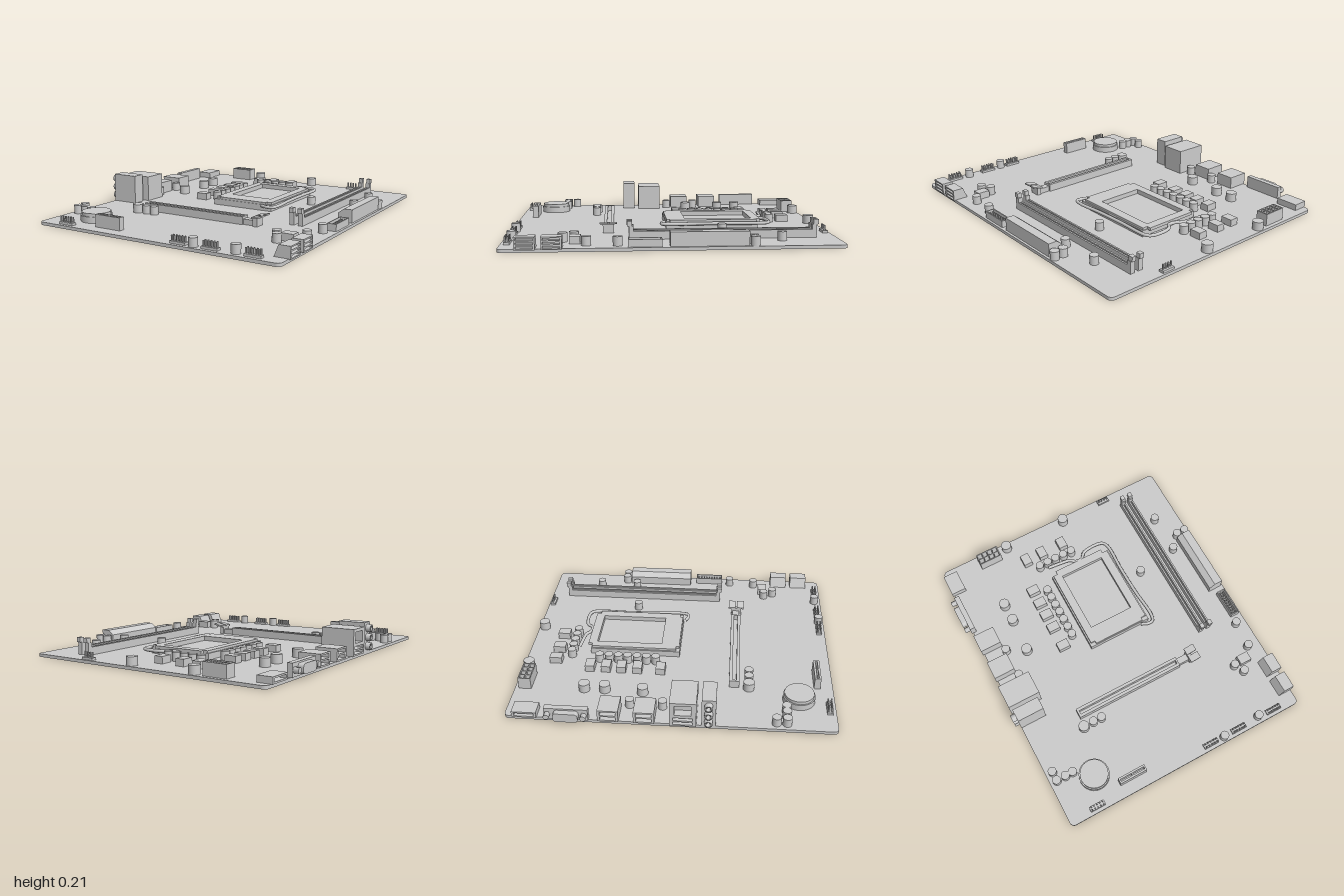
import * as THREE from 'three';

const mat = new THREE.MeshStandardMaterial({ color: 0xcccccc });
const T = 0.02; // top of the circuit board

// rectangle outline, corner-rounded if r > 0
function rect(P, x0, y0, x1, y1, r = 0) {
  const p = new P();
  if (!r) {
    p.moveTo(x0, y0); p.lineTo(x1, y0); p.lineTo(x1, y1); p.lineTo(x0, y1); p.closePath();
    return p;
  }
  p.moveTo(x0 + r, y0);
  p.absarc(x1 - r, y0 + r, r, -Math.PI / 2, 0);
  p.absarc(x1 - r, y1 - r, r, 0, Math.PI / 2);
  p.absarc(x0 + r, y1 - r, r, Math.PI / 2, Math.PI);
  p.absarc(x0 + r, y0 + r, r, Math.PI, Math.PI * 1.5);
  return p;
}

export function createModel() {
  const model = new THREE.Group();
  const add = (name, geo, parent = model) => {
    const m = new THREE.Mesh(geo, mat);
    m.name = name;
    parent.add(m);
    return m;
  };
  const group = (name) => {
    const g = new THREE.Group();
    g.name = name;
    model.add(g);
    return g;
  };
  // box from its limits
  const box = (name, x0, x1, y0, y1, z0, z1, parent) =>
    add(name, new THREE.BoxGeometry(x1 - x0, y1 - y0, z1 - z0)
      .translate((x0 + x1) / 2, (y0 + y1) / 2, (z0 + z1) / 2), parent);
  // outline in (x, -z) raised from y0 to y1
  const raise = (name, shape, y0, y1, parent) =>
    add(name, new THREE.ExtrudeGeometry(shape, { depth: y1 - y0, bevelEnabled: false, curveSegments: 6 })
      .rotateX(-Math.PI / 2).translate(0, y0, 0), parent);
  // outline in (-z, y) swept from x0 to x1
  const sweepX = (name, shape, x0, x1, parent) =>
    add(name, new THREE.ExtrudeGeometry(shape, { depth: x1 - x0, bevelEnabled: false, curveSegments: 6 })
      .rotateY(Math.PI / 2).translate(x0, 0, 0), parent);
  // outline in (x, y) swept from z0 to z1
  const sweepZ = (name, pts, z0, z1, parent) =>
    add(name, new THREE.ExtrudeGeometry(new THREE.Shape(pts.map(p => new THREE.Vector2(...p))),
      { depth: z1 - z0, bevelEnabled: false }).translate(0, 0, z0), parent);
  const cyl = (name, x, z, r, y0, y1, parent) =>
    add(name, new THREE.CylinderGeometry(r, r, y1 - y0, 24).translate(x, (y0 + y1) / 2, z), parent);

  raise('circuitBoard', rect(THREE.Shape, -0.835, -1, 0.87, 1, 0.03), 0, T);

  // Rear ports: solid back with a hollow shell opening towards -x
  function port(name, x0, x1, h, z0, z1, holes) {
    const g = group(name), d = 0.05;
    box('portBody', x0 + d, x1, T, h, z0, z1, g);
    const s = rect(THREE.Shape, -z1, T, -z0, h);
    for (const [a, b, c, e] of holes) s.holes.push(rect(THREE.Path, -b, c, -a, e));
    sweepX('portShell', s, x0, x0 + d, g);
  }
  port('smallPort', -0.845, -0.745, 0.06, -0.95, -0.8, [[-0.935, -0.815, 0.03, 0.05]]);
  for (const z of [-0.43, -0.215])
    port('doublePort', -0.845, -0.7, 0.1, z, z + 0.125,
      [[z + 0.015, z + 0.11, 0.03, 0.055], [z + 0.015, z + 0.11, 0.065, 0.09]]);
  port('networkPort', -0.85, -0.63, 0.19, 0, 0.16,
    [[0.02, 0.14, 0.03, 0.05], [0.02, 0.14, 0.06, 0.08], [0.03, 0.13, 0.1, 0.17]]);

  // Video connector with flange, shell and two screw posts
  const video = group('videoConnector');
  box('flange', -0.845, -0.81, T, 0.1, -0.75, -0.485, video);
  sweepX('shell', rect(THREE.Shape, 0.54, 0.03, 0.69, 0.09, 0.02), -0.88, -0.84, video);
  for (const z of [-0.73, -0.51])
    add('screwPost', new THREE.CylinderGeometry(0.019, 0.019, 0.04, 6)
      .rotateZ(Math.PI / 2).translate(-0.86, 0.06, z), video);

  // Audio block with three stacked jacks
  const audio = group('audioBlock');
  box('audioBody', -0.835, -0.655, T, 0.21, 0.19, 0.275, audio);
  for (const y of [0.055, 0.113, 0.172])
    add('jack', new THREE.LatheGeometry([[0.012, -0.02], [0.012, 0.025], [0.025, 0.025], [0.025, -0.02]]
      .map(p => new THREE.Vector2(...p)).reverse(), 20)
      .rotateZ(Math.PI / 2).translate(-0.84, y, 0.232), audio).material =
      new THREE.MeshStandardMaterial({ color: 0xcccccc, side: THREE.DoubleSide });

  // Auxiliary power connector, 4 x 2 sockets
  const aux = group('auxiliaryPower');
  const auxShape = rect(THREE.Shape, -0.575, 0.895, -0.415, 0.975);
  for (let i = 0; i < 4; i++) for (let j = 0; j < 2; j++) {
    const x = -0.569 + i * 0.038, y = 0.9 + j * 0.037;
    auxShape.holes.push(rect(THREE.Path, x, y, x + 0.032, y + 0.032));
  }
  raise('sockets', auxShape, 0.04, 0.1, aux);
  box('base', -0.575, -0.415, T, 0.04, -0.975, -0.895, aux);

  // Main power connector with sloped inner edge
  sweepZ('mainPower', [[0.76, T], [0.855, T], [0.855, 0.105], [0.797, 0.105], [0.76, 0.075]], -0.43, 0.025);

  // Capacitors
  const caps = group('capacitors');
  const big = [[-0.35, -0.96], [0.105, -0.96], [-0.555, -0.56], [-0.555, -0.43], [-0.565, -0.19],
    [-0.47, 0.47]];
  const mid = [[-0.69, -0.255], [-0.69, -0.053], [0.405, -0.333], [0.7, -0.65], [0.7, -0.38], [0.78, -0.465],
    [0.84, -0.465], [0.795, 0.323], [0.78, 0.503], [0.625, 0.58], [0.66, 0.645], [0.31, 0.963], [0.58, 0.953],
    [-0.4, 0.47], [-0.34, 0.47], [-0.787, 0.635], [-0.787, 0.698], [-0.725, 0.698], [-0.672, 0.698]];
  for (let i = 0; i < 5; i++) mid.push([-0.207 + i * 0.062, -0.705]);
  for (let i = 0; i < 7; i++) mid.push([-0.243, -0.513 + i * 0.062]);
  for (const [x, z] of big) cyl('capacitor', x, z, 0.035, T, 0.075, caps);
  for (const [x, z] of mid) cyl('capacitor', x, z, 0.028, T, 0.075, caps);

  // Chokes
  const chokes = group('chokes');
  const choke = (x, z, w, d) => box('choke', x - w / 2, x + w / 2, T, 0.065, z - d / 2, z + d / 2, chokes);
  for (const x of [-0.27, -0.148, 0.01]) choke(x, -0.797, 0.06, 0.08);
  for (const z of [-0.56, -0.455, -0.355, -0.25, -0.1]) choke(-0.332, z, 0.08, 0.06);
  choke(0.703, 0.57, 0.08, 0.063);

  // Processor socket: frame with notched corners, plate and lever
  const socket = group('processorSocket');
  const window_ = () => rect(THREE.Path, -0.105, 0.115, 0.205, 0.55);
  const base = rect(THREE.Shape, -0.17, -0.01, 0.275, 0.585);
  base.holes.push(window_());
  raise('socketBase', base, T, 0.06, socket);
  const cover = new THREE.Shape([[-0.16, 0.015], [-0.13, 0.015], [-0.13, -0.005], [0.23, -0.005], [0.23, 0.015],
    [0.265, 0.015], [0.265, 0.58], [0.23, 0.58], [0.23, 0.607], [-0.13, 0.607], [-0.13, 0.58], [-0.16, 0.58]]
    .map(p => new THREE.Vector2(...p)));
  cover.holes.push(window_());
  raise('socketCover', cover, 0.055, 0.075, socket);
  box('contactField', -0.105, 0.205, T, 0.045, -0.55, -0.115, socket);
  const lever = [[-0.16, -0.665], [-0.06, -0.655], [0, -0.645], [0.035, -0.618], [0.085, -0.618], [0.12, -0.655],
    [0.26, -0.66], [0.288, -0.63], [0.29, -0.4], [0.295, -0.2], [0.308, -0.02], [0.295, 0.035], [0.26, 0.04],
    [0.21, 0.02]].map(([x, z]) => new THREE.Vector3(x, 0.055, z));
  add('lever', new THREE.TubeGeometry(new THREE.CatmullRomCurve3(lever, false, 'centripetal'), 80, 0.011, 8), socket);

  // Memory slots: grooved rail with an upright latch at each end
  for (const x of [0.555, 0.613]) {
    const g = group('memorySlot');
    sweepZ('rail', [[x - 0.016, T], [x + 0.016, T], [x + 0.016, 0.07], [x + 0.005, 0.07], [x + 0.005, 0.045],
      [x - 0.005, 0.045], [x - 0.005, 0.07], [x - 0.016, 0.07]], -0.85, 0.228, g);
    for (const [zm, s] of [[-0.85, -1], [0.228, 1]]) {
      const a = zm, b = zm + s * 0.028, c = zm + s * 0.04;
      box('latchBlock', x - 0.016, x + 0.016, T, 0.1, Math.min(a, b), Math.max(a, b), g);
      box('latchTip', x - 0.014, x + 0.014, 0.1, 0.13, Math.min(b - s * 0.02, c), Math.max(b - s * 0.02, c), g);
    }
  }

  // Expansion slot with a forked latch
  const slot = group('expansionSlot');
  const rail = rect(THREE.Shape, -0.465, -0.41, 0.295, -0.345);
  rail.holes.push(rect(THREE.Path, -0.45, -0.39, 0.283, -0.365));
  raise('rail', rail, 0.035, 0.07, slot);
  box('railBase', -0.465, 0.295, T, 0.035, 0.345, 0.41, slot);
  box('neck', 0.295, 0.38, T, 0.055, 0.355, 0.4, slot);
  for (const z of [0.325, 0.385])
    sweepZ('latch', [[0.37, 0.07], [0.44, 0.085], [0.44, 0.095], [0.37, 0.082]], z, z + 0.048, slot);
  box('latchPost', 0.37, 0.4, T, 0.075, 0.345, 0.415, slot);

  // Coin battery in its holder
  const battery = group('battery');
  cyl('holder', -0.558, 0.778, 0.1, T, 0.06, battery);
  cyl('cell', -0.558, 0.778, 0.092, 0.06, 0.08, battery);

  // Upright slotted connector near the front edge
  const up = rect(THREE.Shape, -0.44, -0.92, -0.25, -0.88);
  up.holes.push(rect(THREE.Path, -0.43, -0.907, -0.35, -0.893), rect(THREE.Path, -0.34, -0.907, -0.26, -0.893));
  const upright = group('uprightConnector');
  raise('walls', up, 0.04, 0.1, upright);
  box('base', -0.44, -0.25, T, 0.04, 0.88, 0.92, upright);

  // Drive connectors facing +x, sloped at the back, three slots each
  for (const z of [0.635, 0.785]) {
    const g = group('driveConnector');
    sweepZ('body', [[0.78, T], [0.85, T], [0.85, 0.09], [0.808, 0.09]], z, z + 0.117, g);
    const s = rect(THREE.Shape, -z - 0.117, 0.015, -z, 0.09);
    for (const y of [0.022, 0.045, 0.068])
      s.holes.push(rect(THREE.Path, -z - 0.107, y, -z - 0.01, y + 0.014));
    sweepX('slots', s, 0.85, 0.88, g);
  }

  // Pin headers
  function pins(g, x0, z0, nx, nz, step, y) {
    for (let i = 0; i < nx; i++) for (let j = 0; j < nz; j++) {
      const x = x0 + i * step, z = z0 + j * step;
      box('pin', x - 0.004, x + 0.004, T, y, z - 0.004, z + 0.004, g);
    }
  }
  for (const x of [-0.685, 0.158, 0.37, 0.64]) {
    const g = group('pinHeader');
    box('headerBase', x, x + 0.106, T, 0.035, 0.943, 0.978, g);
    pins(g, x + 0.013, 0.951, 5, 2, 0.02, 0.068);
  }
  const fan = group('fanHeader');
  box('headerBase', 0.4, 0.485, T, 0.035, -0.988, -0.955, fan);
  pins(fan, 0.412, -0.971, 4, 1, 0.02, 0.068);

  // Shrouded front-panel header
  const panel = group('shroudedHeader');
  const shroud = rect(THREE.Shape, 0.793, -0.265, 0.855, -0.07);
  shroud.holes.push(rect(THREE.Path, 0.8, -0.258, 0.848, -0.077));
  raise('shroud', shroud, T, 0.065, panel);
  pins(panel, 0.814, 0.087, 2, 9, 0.02, 0.055);

  return model;
}
